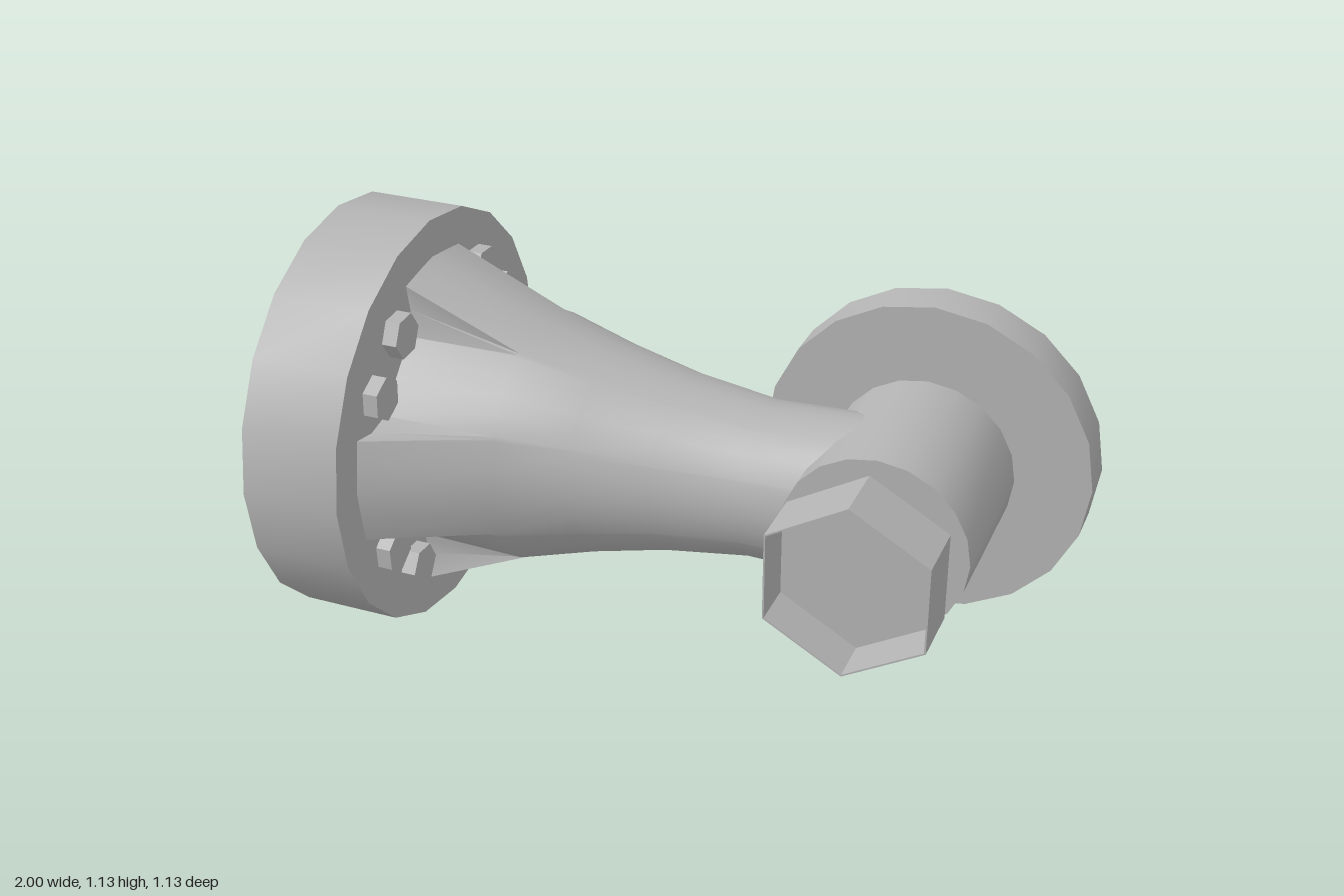
import * as THREE from 'three';
import { toCreasedNormals } from 'three/addons/utils/BufferGeometryUtils.js';

const CY = 0.567; // height of the main axis
const EYE_X = 0.557; // centre of the cross pin

export function createModel() {
  const group = new THREE.Group();
  const steel = new THREE.MeshStandardMaterial({ color: 0xb4b4b4, side: THREE.DoubleSide });
  steel.name = 'steel grey';

  const add = (name, geometry, x = 0, y = CY, z = 0) => {
    const mesh = new THREE.Mesh(geometry, steel);
    mesh.name = name;
    mesh.position.set(x, y, z);
    group.add(mesh);
    return mesh;
  };
  // Turned solid from [radius, distance along axis] pairs
  const turned = (pairs, sides, crease = 0.6) =>
    toCreasedNormals(new THREE.LatheGeometry(pairs.map(p => new THREE.Vector2(...p)), sides), crease);
  const alongX = g => g.rotateZ(-Math.PI / 2);
  const alongZ = g => g.rotateX(Math.PI / 2);

  // Large hollow rim
  add('mountingRim', alongX(turned(
    [[0.517, -1], [0.567, -1], [0.567, -0.73], [0.517, -0.73], [0.517, -1]], 20)));

  // Four-lobed section at the wide end: [across, up, angle on the round body]
  const half = [
    [0, 0.465, 0], [0.0725, 0.455, 12], [0.145, 0.443, 24], [0.131, 0.37, 25.2],
    [0.145, 0.3, 26.5], [0.187, 0.262, 36], [0.225, 0.225, 45],
  ];
  const quarter = [
    ...half,
    ...half.slice(1, -1).reverse().map(([a, b, t]) => [b, a, 90 - t]),
  ];
  const section = [];
  for (let q = 0; q < 4; q++) {
    const c = Math.round(Math.cos(q * Math.PI / 2)), s = Math.round(Math.sin(q * Math.PI / 2));
    for (const [a, b, t] of quarter) {
      section.push([a * c + b * s, b * c - a * s, THREE.MathUtils.degToRad(t + q * 90)]);
    }
  }

  // Neck: lobed at the rim, then round: [x, half depth, half height]
  const rings = [
    [-0.42, 0.335, 0.335], [-0.23, 0.281, 0.281], [-0.03, 0.236, 0.236],
    [0.2, 0.205, 0.205], [0.46, 0.2, 0.217],
  ];
  const positions = [], index = [], n = section.length;
  for (const [z, y] of section) positions.push(-0.73, y, z);
  for (const [x, rz, ry] of rings) {
    for (const [, , t] of section) positions.push(x, ry * Math.cos(t), rz * Math.sin(t));
  }
  for (let r = 0; r < rings.length; r++) {
    for (let i = 0; i < n; i++) {
      const a = r * n + i, b = r * n + (i + 1) % n;
      index.push(a, a + n, b, b, a + n, b + n);
    }
  }
  const neck = new THREE.BufferGeometry();
  neck.setAttribute('position', new THREE.Float32BufferAttribute(positions, 3));
  neck.setIndex(index);
  add('neck', toCreasedNormals(neck, 0.55));

  // Plate inside the rim, opened to the shape of the neck
  const disc = new THREE.Shape();
  for (let i = 0; i < 20; i++) {
    const t = i * Math.PI / 10;
    disc[i ? 'lineTo' : 'moveTo'](0.517 * Math.cos(t), 0.517 * Math.sin(t));
  }
  disc.holes.push(new THREE.Path(section.map(([z, y]) => new THREE.Vector2(z, y))));
  add('rimPlate', new THREE.ExtrudeGeometry(disc, { depth: 0.02, bevelEnabled: false })
    .rotateY(Math.PI / 2), -0.75);

  // Bolts in pairs between the lobes
  const boltGeometry = alongX(turned(
    [[0, -0.755], [0.06, -0.755], [0.06, -0.69], [0, -0.69]], 6));
  for (let q = 0; q < 4; q++) {
    for (const offset of [-12, 12]) {
      const t = THREE.MathUtils.degToRad(45 + q * 90 + offset);
      const bolt = add('bolt', boltGeometry, 0, CY + 0.412 * Math.sin(t), 0.412 * Math.cos(t));
      bolt.rotation.x = -t;
    }
  }

  // Cross eye and the pin through it
  add('eye', alongZ(turned([[0, -0.217], [0.243, -0.217], [0.243, 0.217], [0, 0.217]], 20)), EYE_X);
  add('pin', alongZ(turned([[0, -0.3], [0.16, -0.3], [0.16, 0.3], [0, 0.3]], 20)), EYE_X);

  // Hollow hexagonal nut
  add('nut', alongZ(turned([
    [0, 0.277], [0.235, 0.277], [0.235, 0.44], [0.23, 0.44], [0.23, 0.32], [0, 0.32],
  ], 6)), EYE_X);

  // Stepped flange with a dished back
  add('flange', alongZ(turned([
    [0, -0.375], [0.345, -0.375], [0.345, -0.428], [0.358, -0.428], [0.358, -0.36],
    [0.44, -0.36], [0.44, -0.24], [0, -0.24],
  ], 20)), EYE_X);

  return group;
}
